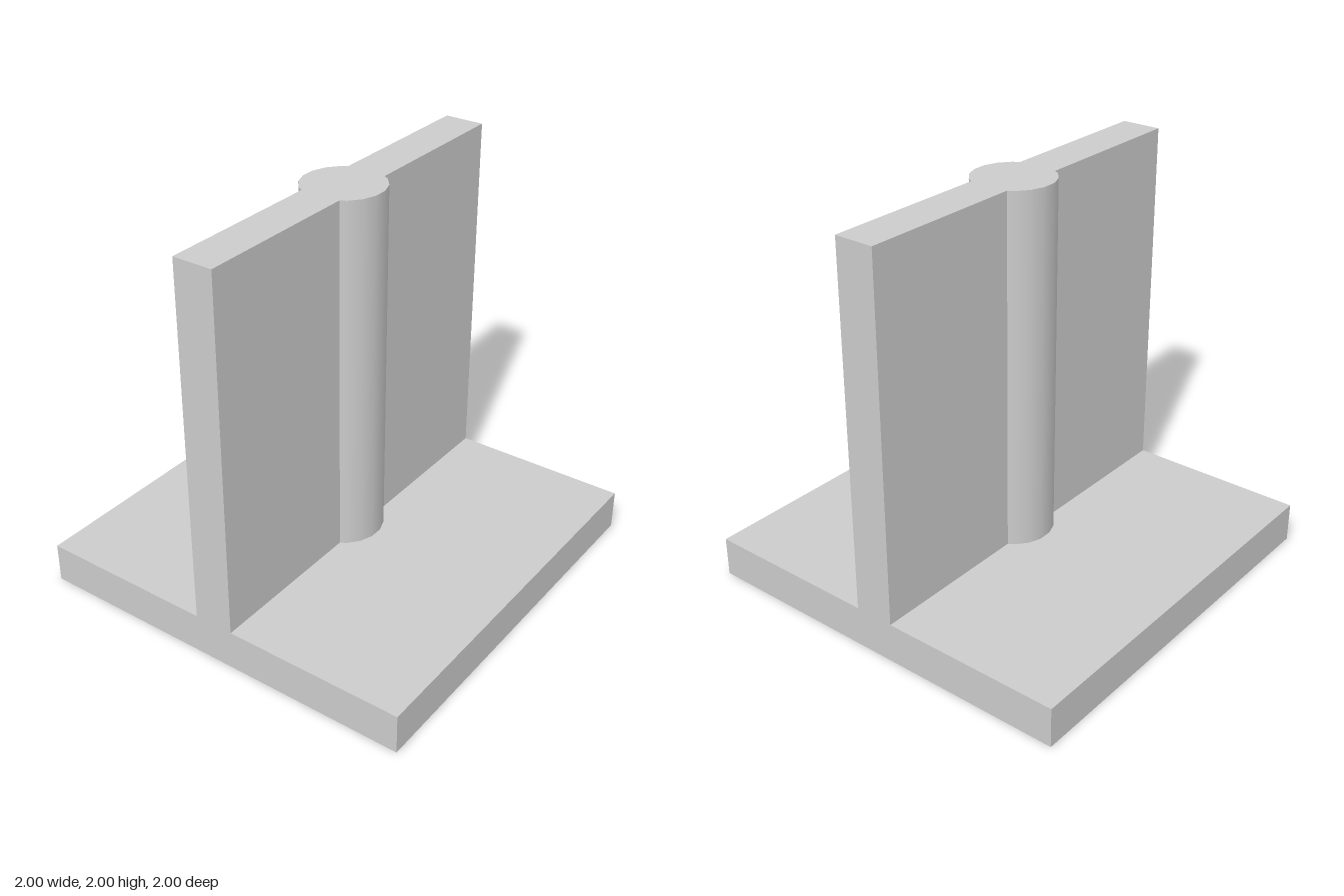
import * as THREE from 'three';

const BASE_H = 0.2, TOTAL_H = 2, WALL_T = 0.2, COLUMN_R = 0.2;

export function createModel() {
  const group = new THREE.Group();
  const material = new THREE.MeshStandardMaterial({ color: 0xcccccc });
  const upperH = TOTAL_H - BASE_H;
  const upperY = BASE_H + upperH / 2;

  const add = (name, geometry, x, y) => {
    const mesh = new THREE.Mesh(geometry, material);
    mesh.name = name;
    mesh.position.set(x, y, 0);
    group.add(mesh);
  };

  // Square floor slab
  add('basePlate', new THREE.BoxGeometry(2, BASE_H, 2), 0, BASE_H / 2);

  // Round column in the middle of the wall, with a facet facing front and back
  add('column', new THREE.CylinderGeometry(COLUMN_R, COLUMN_R, upperH, 18, 1, false, Math.PI / 2), 0, upperY);

  // Wall panels on both sides, their inner ends set into the column
  const inner = 0.165;
  for (const [name, side] of [['leftWall', 1], ['rightWall', -1]]) {
    add(name, new THREE.BoxGeometry(1 - inner, upperH, WALL_T), side * (1 + inner) / 2, upperY);
  }

  return group;
}
